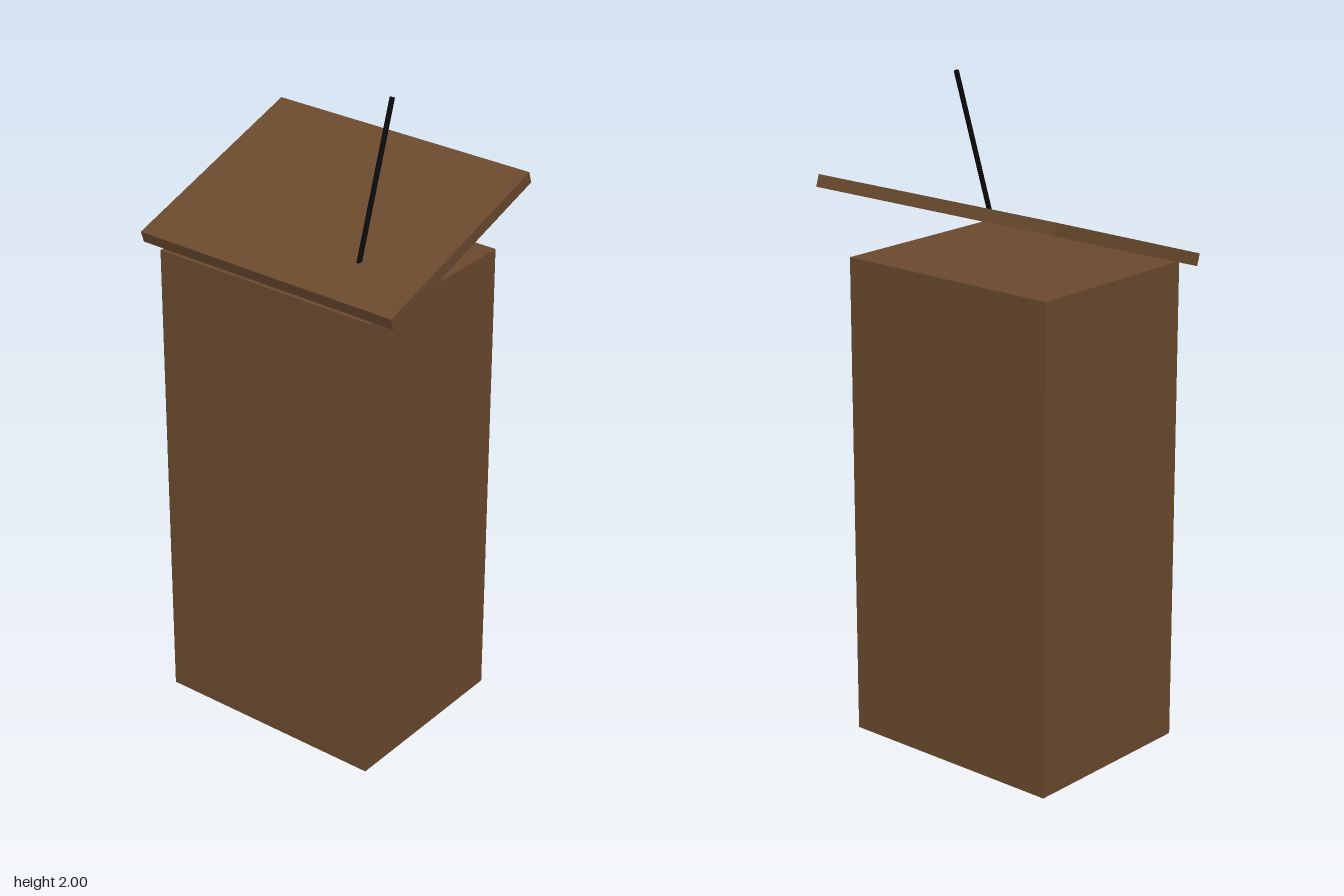
import * as THREE from 'three';

export function createModel() {
  const group = new THREE.Group();
  const wood = new THREE.MeshStandardMaterial({ color: 0x6b4a2e });
  wood.name = 'brown wood';
  const black = new THREE.MeshStandardMaterial({ color: 0x0a0a0a });
  black.name = 'black';
  const tilt = Math.PI / 10;

  function add(name, geometry, material, x, y, z, rx = 0) {
    const mesh = new THREE.Mesh(geometry, material);
    mesh.name = name;
    mesh.position.set(x, y, z);
    mesh.rotation.x = rx;
    group.add(mesh);
  }

  // Solid pedestal
  add('pedestal', new THREE.BoxGeometry(0.74, 1.48, 0.59), wood, 0, 0.74, 0.028);
  // Reading board, resting on the front edge and rising to the back
  add('readingBoard', new THREE.BoxGeometry(0.888, 0.037, 0.666), wood, 0, 1.6005, -0.001, tilt);
  // Thin microphone stem leaning back, its foot sunk into the board
  add('microphoneStem', new THREE.CylinderGeometry(0.0075, 0.0075, 0.47, 16), black, 0.222, 1.7745, 0.103, -tilt);

  return group;
}
